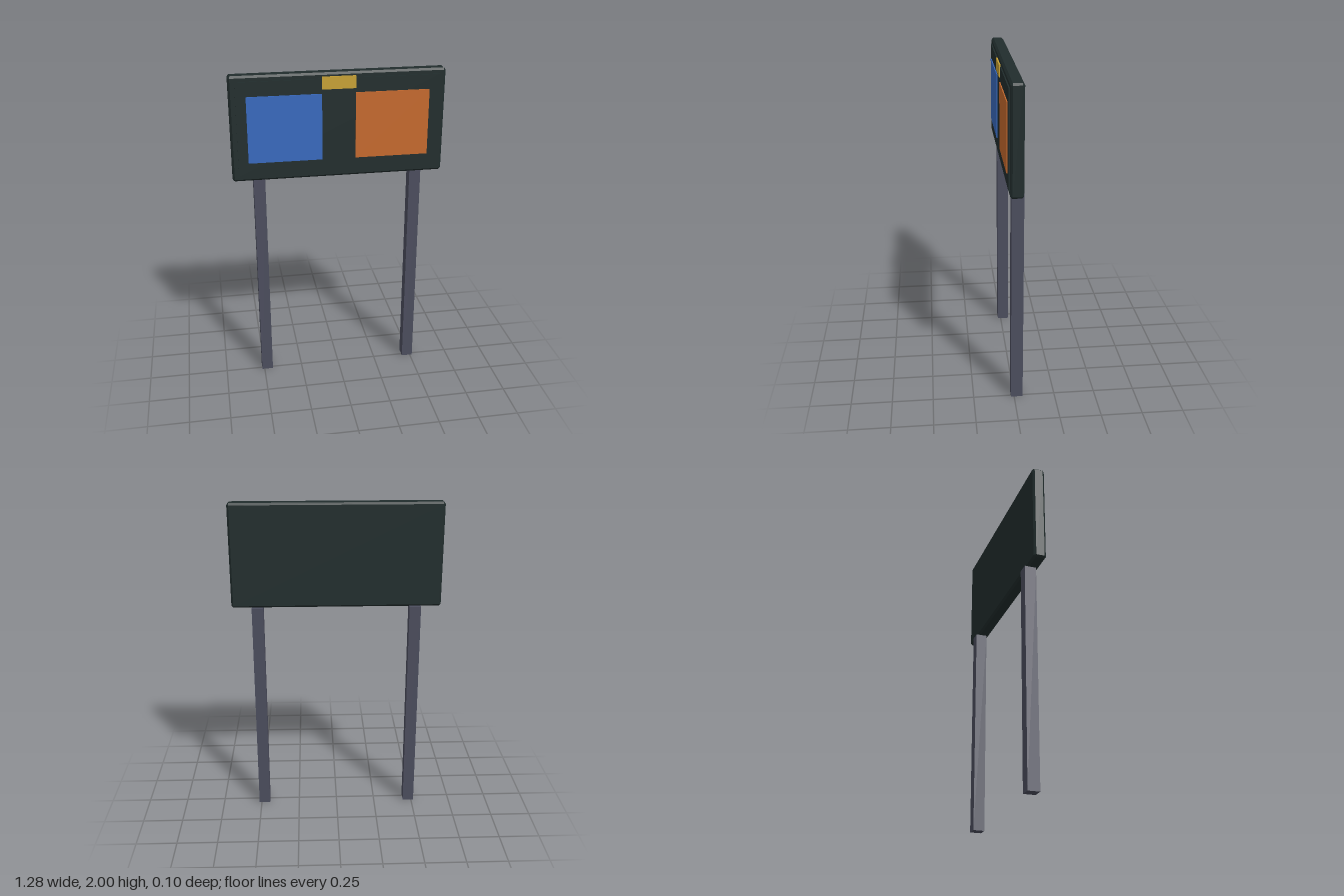
import * as THREE from 'three';
import { ConvexGeometry } from 'three/addons/geometries/ConvexGeometry.js';

const paint = (name, color) => {
  const m = new THREE.MeshStandardMaterial({ color });
  m.name = name;
  return m;
};

// Box with every edge and corner cut by a flat bevel
function bevelledBox(w, h, d, b) {
  const points = [];
  for (const sx of [-1, 1]) for (const sy of [-1, 1]) for (const sz of [-1, 1]) {
    const [x, y, z] = [w / 2, h / 2, d / 2];
    points.push(
      new THREE.Vector3(sx * x, sy * (y - b), sz * (z - b)),
      new THREE.Vector3(sx * (x - b), sy * y, sz * (z - b)),
      new THREE.Vector3(sx * (x - b), sy * (y - b), sz * z));
  }
  return new ConvexGeometry(points);
}

export function createModel() {
  const model = new THREE.Group();
  model.name = 'signBoard';
  const dark = paint('darkGreen', 0x212d2d);
  const steel = paint('greySteel', 0x4c4e5e);
  const blue = paint('blue', 0x386abf);
  const orange = paint('orange', 0xc76a2d);
  const gold = paint('gold', 0xc9a234);

  const add = (name, geometry, material, x, y, z) => {
    const mesh = new THREE.Mesh(geometry, material);
    mesh.name = name;
    mesh.position.set(x, y, z);
    model.add(mesh);
  };

  // Board and its raised face panel
  add('board', bevelledBox(1.276, 0.636, 0.076, 0.012), dark, 0, 1.682, 0);
  add('facePanel', new THREE.BoxGeometry(1.2, 0.57, 0.009), dark, 0, 1.682, 0.0405);

  // Coloured plates on the face
  const plate = new THREE.BoxGeometry(0.44, 0.4, 0.008);
  add('rightPlate', plate, blue, -0.32, 1.68, 0.047);
  add('leftPlate', plate, orange, 0.32, 1.68, 0.047);
  add('topPlate', new THREE.BoxGeometry(0.2, 0.074, 0.009), gold, 0, 1.943, 0.048);

  // Square posts, set back under the board
  const post = new THREE.BoxGeometry(0.07, 1.364, 0.072);
  add('rightPost', post, steel, -0.48, 0.682, -0.0165);
  add('leftPost', post, steel, 0.48, 0.682, -0.0165);

  return model;
}
